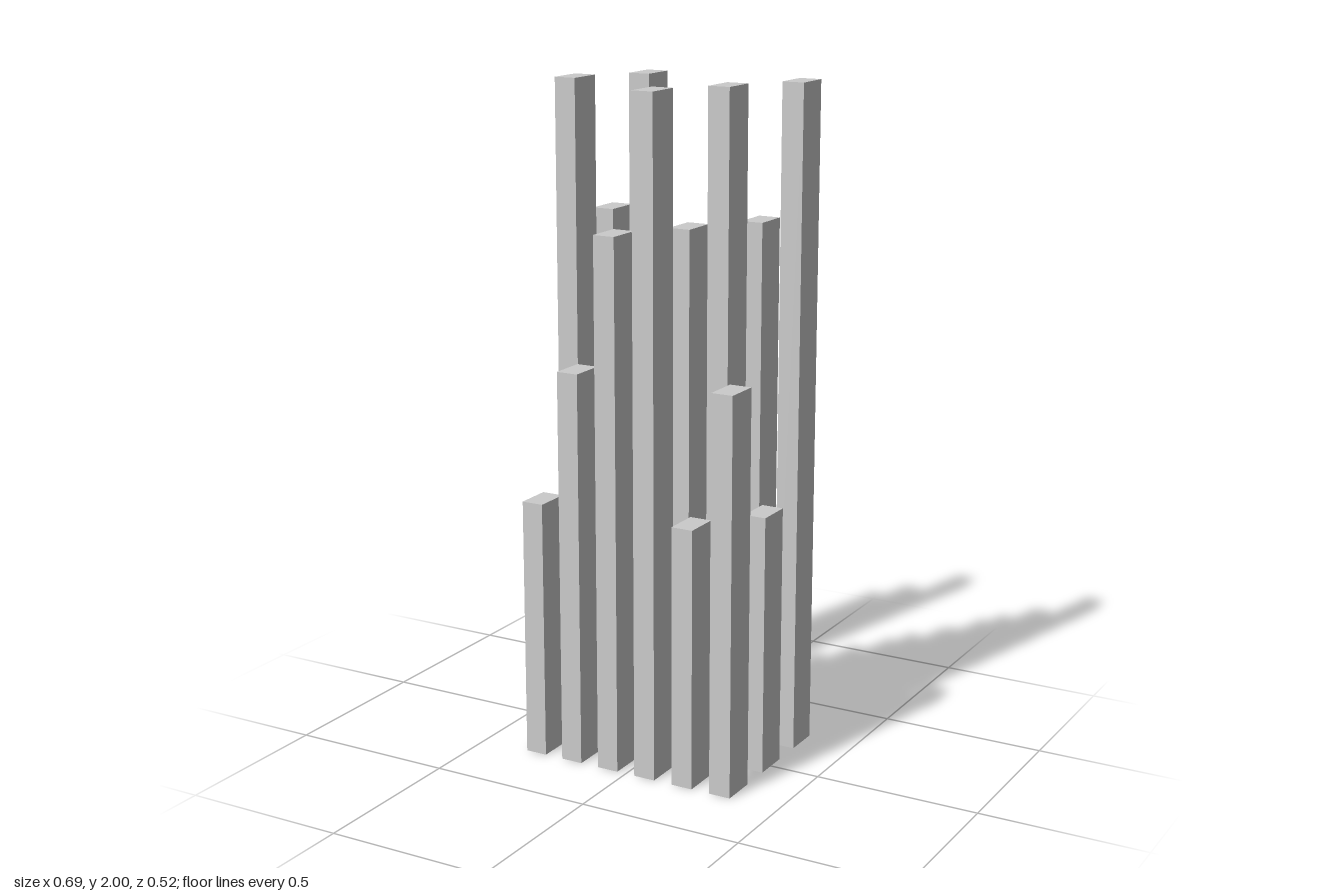
import * as THREE from 'three';

export function createModel() {
  const model = new THREE.Group();
  model.name = 'pillarGrid';
  const material = new THREE.MeshStandardMaterial({ color: 0xcccccc, flatShading: true });

  const columns = 6, rows = 3, levels = 4;
  const width = 0.067, depth = 0.111;
  const stepX = 0.125, stepZ = 0.205;
  const lowest = 0.785, rise = 0.405;

  // Heights climb through four levels along x; each row back is shifted by one
  for (let row = 0; row < rows; row++) {
    for (let col = 0; col < columns; col++) {
      const level = (col - row + levels) % levels;
      const height = lowest + rise * level;
      const pillar = new THREE.Mesh(new THREE.BoxGeometry(width, height, depth), material);
      pillar.name = `pillarRow${row + 1}Column${col + 1}`;
      pillar.position.set(
        (col - (columns - 1) / 2) * stepX,
        height / 2,
        ((rows - 1) / 2 - row) * stepZ
      );
      model.add(pillar);
    }
  }
  return model;
}
